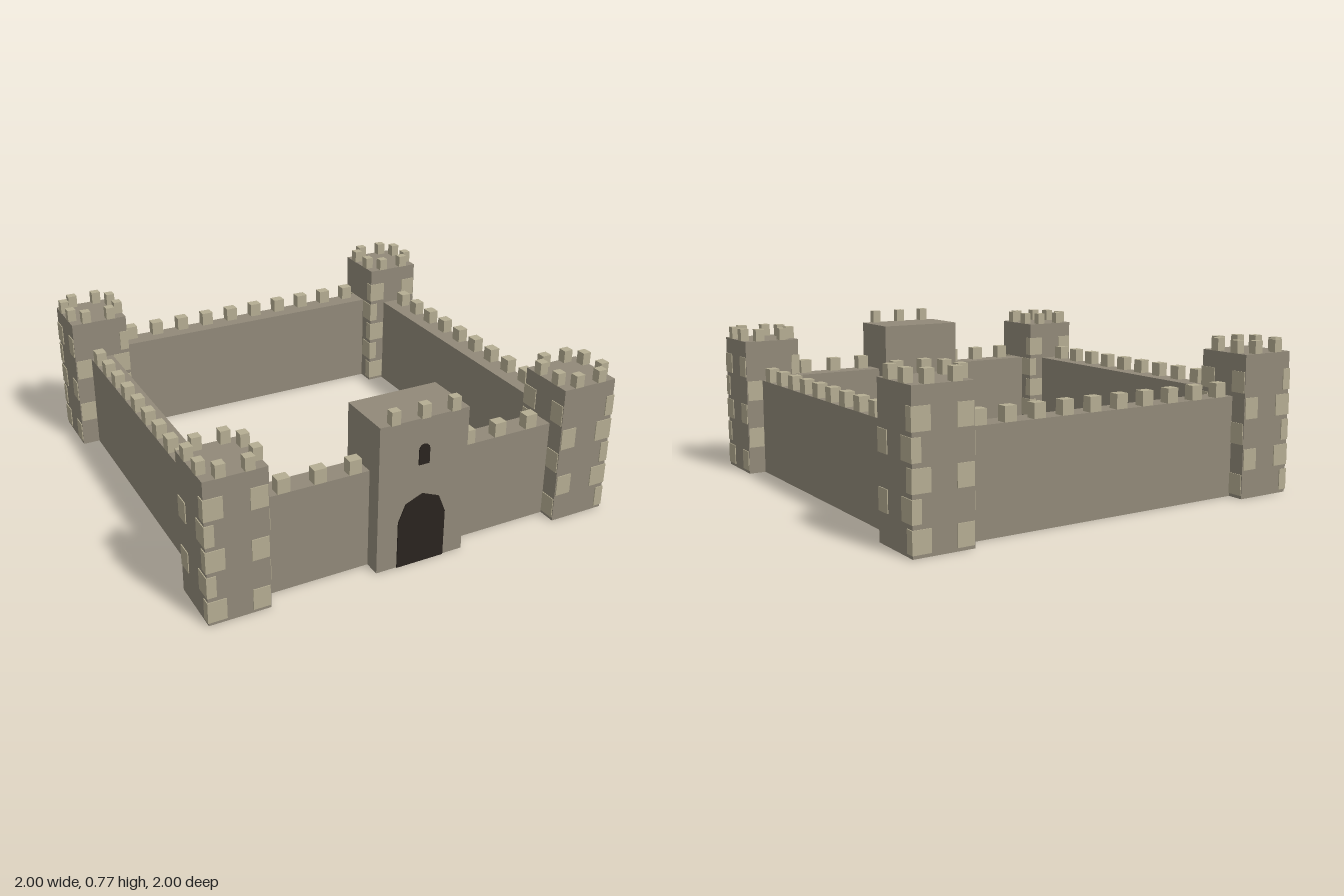
import * as THREE from 'three';

const stone = new THREE.MeshStandardMaterial({ color: 0x918979 });
const paleStone = new THREE.MeshStandardMaterial({ color: 0xb5ad92 });
const dark = new THREE.MeshStandardMaterial({ color: 0x2a241f });

// Box given by its extents on each axis
function block(parent, name, material, [x0, x1], [y0, y1], [z0, z1]) {
  const mesh = new THREE.Mesh(new THREE.BoxGeometry(x1 - x0, y1 - y0, z1 - z0), material);
  mesh.position.set((x0 + x1) / 2, (y0 + y1) / 2, (z0 + z1) / 2);
  mesh.name = name;
  parent.add(mesh);
  return mesh;
}

const around = (c, size) => [c - size / 2, c + size / 2];
const span = (a, b) => [Math.min(a, b), Math.max(a, b)];

// Arched slab, its arch faceted like a low-poly half circle
function archedSlab(name, halfWidth, y0, springY, z0, z1, segments) {
  const shape = new THREE.Shape();
  shape.moveTo(-halfWidth, y0);
  shape.lineTo(halfWidth, y0);
  for (let i = 0; i <= segments; i++) {
    const a = (i / segments) * Math.PI;
    shape.lineTo(halfWidth * Math.cos(a), springY + halfWidth * Math.sin(a));
  }
  const geometry = new THREE.ExtrudeGeometry(shape, { depth: z1 - z0, bevelEnabled: false });
  geometry.translate(0, 0, z0);
  const mesh = new THREE.Mesh(geometry, dark);
  mesh.name = name;
  return mesh;
}

function createTower(sx, sz) {
  const tower = new THREE.Group();
  tower.name = 'cornerTower';
  const half = 0.139, proud = 0.143, height = 0.668;
  block(tower, 'towerBody', stone, [-half, half], [0, height], [-half, half]);

  // Two merlons along each side of the top
  for (const side of [-1, 1]) {
    for (const offset of [-0.062, 0.062]) {
      const edge = span(side * 0.1, side * 0.141);
      block(tower, 'towerMerlon', paleStone, around(offset, 0.044), [height, 0.727], edge);
      block(tower, 'towerMerlon', paleStone, edge, [height, 0.727], around(offset, 0.044));
    }
  }

  // Corner stones, long side alternating from course to course
  for (let level = 0; level < 5; level++) {
    const y = 0.015 + level * 0.119;
    const longX = (level % 2 === 1) !== (sx * sz < 0);
    for (const cx of [-1, 1]) {
      for (const cz of [-1, 1]) {
        const wraps = cx * cz === sx * sz;
        const end = wraps ? proud : half - 0.004;
        const xOuter = longX ? end : proud;
        const zOuter = longX ? proud : end;
        block(tower, 'cornerStone', paleStone,
          span(cx * (longX ? 0.058 : 0.1), cx * xOuter),
          [y, y + 0.098],
          span(cz * (longX ? 0.1 : 0.058), cz * zOuter));
      }
    }
  }
  tower.position.set(sx * 0.857, 0, sz * 0.857);
  return tower;
}

// Straight wall along x, outer face toward +z
function createWall(name, merlonXs) {
  const wall = new THREE.Group();
  wall.name = name;
  block(wall, 'wallBody', stone, [-0.73, 0.73], [0, 0.47], [-0.055, 0.055]);
  for (const x of merlonXs) {
    block(wall, 'wallMerlon', paleStone, around(x, 0.058), [0.47, 0.537], [0.005, 0.055]);
  }
  return wall;
}

function createGatehouse() {
  const gate = new THREE.Group();
  gate.name = 'gatehouse';
  block(gate, 'gatehouseBody', stone, [-0.217, 0.217], [0, 0.705], [0.72, 0.988]);
  for (const x of [-0.146, 0, 0.146]) {
    block(gate, 'gatehouseMerlon', paleStone, around(x, 0.043), [0.705, 0.768], [0.957, 0.996]);
  }
  gate.add(archedSlab('gateway', 0.117, 0, 0.227, 0.715, 0.993, 4));
  gate.add(archedSlab('window', 0.026, 0.487, 0.558, 0.97, 0.993, 6));
  return gate;
}

export function createModel() {
  const castle = new THREE.Group();
  castle.name = 'castle';

  for (const sx of [-1, 1]) {
    for (const sz of [-1, 1]) castle.add(createTower(sx, sz));
  }

  // Curtain walls
  const even = Array.from({ length: 10 }, (_, i) => -0.644 + i * 0.1431);
  const front = createWall('frontWall', [-0.614, -0.447, -0.283, 0.283, 0.447, 0.614]);
  front.position.z = 0.856;
  const back = createWall('backWall', even);
  back.rotation.y = Math.PI;
  back.position.z = -0.863;
  castle.add(front, back);
  for (const side of [-1, 1]) {
    const wall = createWall(side > 0 ? 'leftWall' : 'rightWall', even);
    wall.rotation.y = side * Math.PI / 2;
    wall.position.x = side * 0.858;
    castle.add(wall);
  }

  castle.add(createGatehouse());
  return castle;
}
